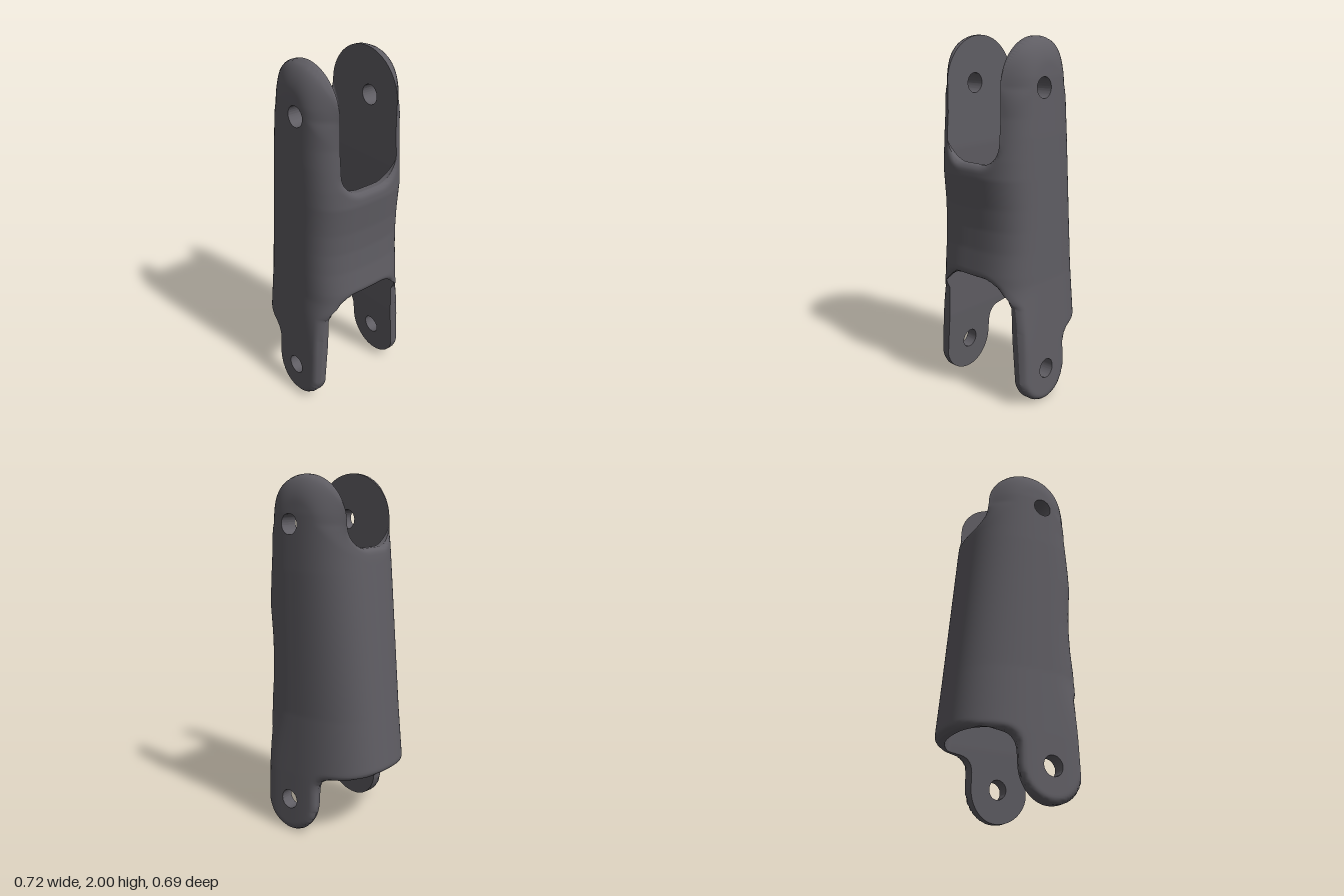
import * as THREE from 'three';
import { mergeVertices, mergeGeometries } from 'three/addons/utils/BufferGeometryUtils.js';

const { smoothstep, clamp, lerp } = THREE.MathUtils;

// Piecewise profile: value at height y from [y, value] pairs
function profile(points, y) {
  if (y <= points[0][0]) return points[0][1];
  for (let i = 1; i < points.length; i++) {
    const [y0, v0] = points[i - 1], [y1, v1] = points[i];
    if (y <= y1) return lerp(v0, v1, (y - y0) / (y1 - y0));
  }
  return points[points.length - 1][1];
}

// Outer and inner sizes of the sleeve along its height
const LEFT = [[0.38, -0.36], [1.58, -0.25], [2, -0.22]];
const RIGHT = [[0, 0.37], [0.6, 0.366], [0.75, 0.36], [0.88, 0.345], [1, 0.34], [1.12, 0.344], [1.28, 0.36], [1.38, 0.355], [1.6, 0.335], [2, 0.335]];
const DEPTH = [[0, 0.345], [0.35, 0.331], [0.7, 0.314], [1.5, 0.31], [1.8, 0.302], [2, 0.285]];
const INNER_DEPTH = [[0, 0.278], [0.4, 0.245], [0.7, 0.235], [1.4, 0.19]];
const CX = 0.08;

// Outer skin: a squarish oval section, fuller on the right near the foot
function skin(angle, y) {
  const c = Math.cos(angle), s = Math.sin(angle);
  const a = c < 0 ? CX - profile(LEFT, y) : profile(RIGHT, y) - CX;
  const p = c < 0 ? 2.5 : 5 - 2 * smoothstep(y, 0.3, 0.7);
  const r = (Math.abs(c) ** p + Math.abs(s) ** p) ** (-1 / p);
  return new THREE.Vector3(CX + a * c * r, y, profile(DEPTH, y) * s * r);
}

// Inner skin: flat cheeks, curved webs that run out beside the openings
function lining(o) {
  const y = o.y, left = o.x < CX;
  const a = left ? CX - profile(LEFT, y) : profile(RIGHT, y) - CX;
  const web = left
    ? 0.065 * (1 - smoothstep(y, 1.6, 1.75))
    : 0.055 * (1 - smoothstep(y, 1.34, 1.48)) * smoothstep(y, 0.6, 0.73);
  const b = profile(INNER_DEPTH, y);
  return new THREE.Vector3(CX + (o.x - CX) * (1 - web / a), y, clamp(o.z, -b, b));
}

// Distance to a U-shaped slot; "depth" grows towards its open end
function slot(z, depth, width, radius) {
  const qx = Math.abs(z) - width + radius, qy = radius - depth;
  return Math.hypot(Math.max(qx, 0), Math.max(qy, 0)) + Math.min(Math.max(qx, qy), 0) - radius;
}

// Round ends of the upper cheeks
function topLobe({ x, y }) {
  return y > 1.745
    ? 0.255 - Math.hypot(x - 0.06, y - 1.745)
    : 0.255 + (1.745 - y) - Math.abs(x - 0.06);
}

// Distance to the trimmed edges, positive where there is material
function edge(o) {
  const { x, y, z } = o;
  const hem = y - 0.336 + 0.12 * x;
  const lobe = 0.187 - Math.hypot(x - 0.105, Math.min(y - 0.19, 0));
  const k = 0.09, h = Math.max(k - Math.abs(hem - lobe), 0) / k;
  const foot = Math.max(hem, lobe) + h * h * k / 4;
  const shin = 0.287 + Math.max(0, y - 0.58) * 0.6 - x;
  const openings = x < CX
    ? slot(z, y - 1.62, 0.19, 0.13)
    : Math.min(slot(z, y - 1.345, 0.19, 0.13), slot(z, 0.725 - y, 0.25 + (0.5 - y) * 0.06, 0.16));
  return Math.min(topLobe(o), foot, shin, openings);
}

// Pin holes through both cheeks
function pins({ x, y }) {
  return Math.min(Math.hypot(x - 0.105, y - 0.19), Math.hypot(x - 0.105, y - 1.745)) - 0.055;
}

function rounding(d, r) {
  const t = clamp(1 - d / r, 0, 1);
  return 1 - Math.sqrt(1 - t * t);
}

// One surface point: trim value, softened outer position, inner position
function sample(angle, y, cut = false) {
  const o = skin(angle, y), inner = lining(o), e = edge(o);
  const soft = Math.max(0.45 * rounding(e, 0.035), 0.8 * rounding(topLobe(o), 0.14));
  return { angle, y, cut, d: Math.min(e, pins(o)), outer: o.lerp(inner, soft), inner };
}

function clip(tri) {
  const out = [];
  tri.forEach((p, i) => {
    const q = tri[(i + 1) % 3];
    if (p.d >= 0) out.push(p);
    if ((p.d >= 0) !== (q.d >= 0)) {
      // always interpolate from the kept side so that neighbours agree
      const [a, b] = p.d >= 0 ? [p, q] : [q, p], t = a.d / (a.d - b.d);
      out.push(sample(lerp(a.angle, b.angle, t), lerp(a.y, b.y, t), true));
    }
  });
  return out;
}

function surface(points) {
  const g = new THREE.BufferGeometry().setFromPoints(points);
  const merged = mergeVertices(g, 1e-5);
  merged.computeVertexNormals();
  return merged;
}

function sleeveGeometry(columns = 144, rows = 160) {
  const grid = [];
  for (let i = 0; i <= columns; i++) {
    grid.push([]);
    for (let j = 0; j <= rows; j++) {
      grid[i].push(sample((i % columns) / columns * Math.PI * 2, lerp(-0.015, 2.015, j / rows)));
      if (i === columns) grid[i][j].angle = Math.PI * 2;
    }
  }
  const outside = [], inside = [], rim = [];
  for (let i = 0; i < columns; i++) {
    for (let j = 0; j < rows; j++) {
      const a = grid[i][j], b = grid[i][j + 1], c = grid[i + 1][j + 1], d = grid[i + 1][j];
      for (const tri of [[a, b, c], [a, c, d]]) {
        const poly = clip(tri);
        for (let k = 1; k + 1 < poly.length; k++) {
          const [p, q, r] = [poly[0], poly[k], poly[k + 1]];
          outside.push(p.outer, q.outer, r.outer);
          inside.push(p.inner, r.inner, q.inner);
        }
        // wall joining both skins along a trimmed edge
        poly.forEach((p, k) => {
          const q = poly[(k + 1) % poly.length];
          if (p.cut && q.cut) rim.push(q.outer, p.outer, p.inner, q.outer, p.inner, q.inner);
        });
      }
    }
  }
  return mergeGeometries([outside, inside, rim].map(surface));
}

export function createModel() {
  const group = new THREE.Group();
  group.name = 'hingedLink';
  const material = new THREE.MeshStandardMaterial({ color: 0x5f5d63 });
  const sleeve = new THREE.Mesh(sleeveGeometry(), material);
  sleeve.name = 'linkSleeve';
  group.add(sleeve);
  return group;
}
